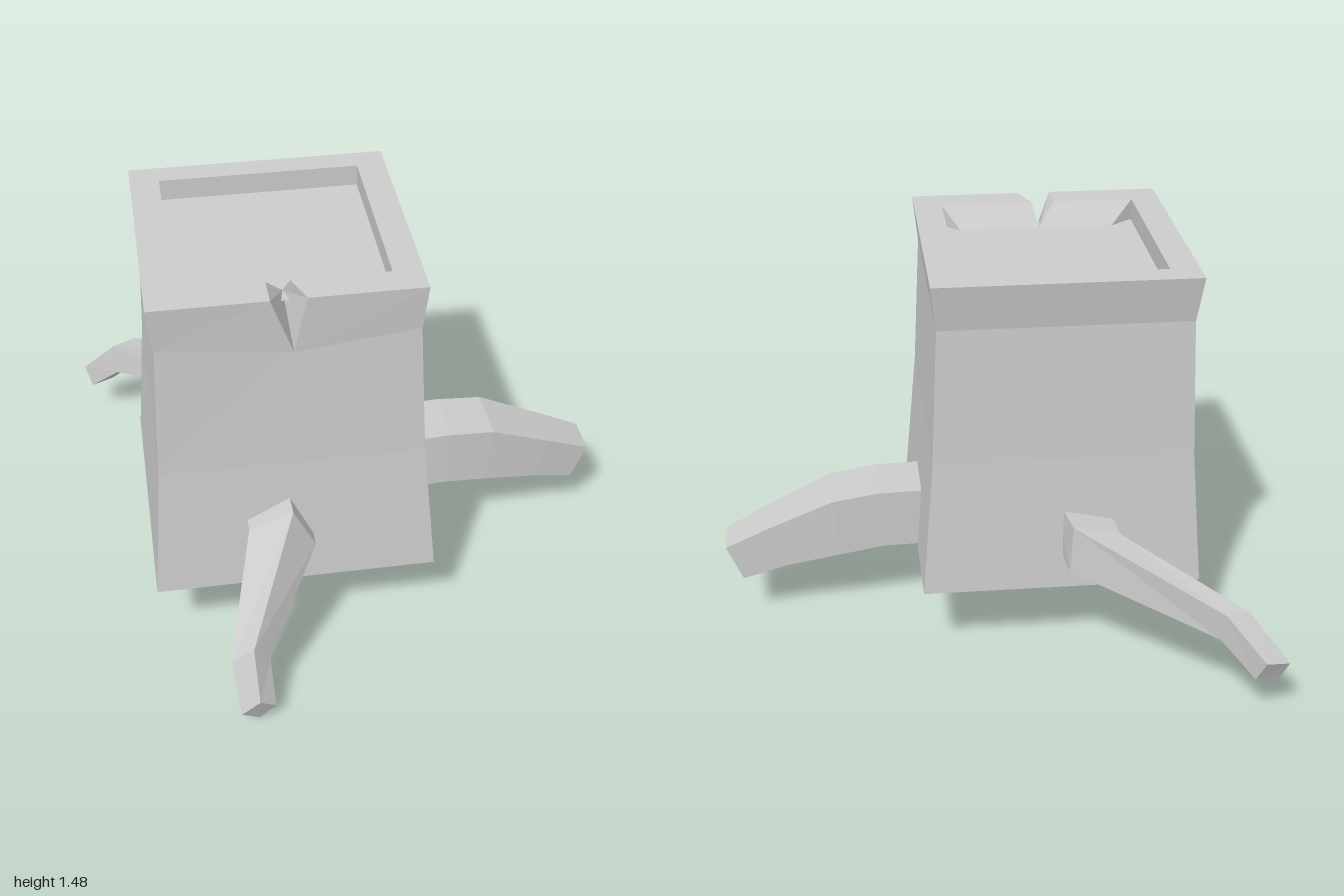
import * as THREE from 'three';

const material = new THREE.MeshStandardMaterial({ color: 0xcccccc, flatShading: true });

// Mesh from flat polygons, each a counter-clockwise list of corners
function polygonMesh(name, polygons) {
  const positions = [];
  for (const p of polygons)
    for (let i = 1; i < p.length - 1; i++) positions.push(...p[0], ...p[i], ...p[i + 1]);
  const geometry = new THREE.BufferGeometry();
  geometry.setAttribute('position', new THREE.Float32BufferAttribute(positions, 3));
  geometry.computeVertexNormals();
  const mesh = new THREE.Mesh(geometry, material);
  mesh.name = name;
  return mesh;
}

// Side quads between two four-cornered rings, from the given side onward
function band(a, b, first = 0) {
  const quads = [];
  for (let i = first; i < 4; i++) {
    const j = (i + 1) % 4;
    quads.push([a[i], a[j], b[j], b[i]]);
  }
  return quads;
}

const square = (h, y, dz = 0) => [[-h, y, h + dz], [h, y, h + dz], [h, y, -h + dz], [-h, y, -h + dz]];

function createTrunk() {
  const base = square(0.512, 0.29);
  const middle = square(0.472, 0.8);
  const neck = square(0.452, 1.31);
  const top = square(0.472, 1.48, -0.008);
  const rim = square(0.366, 1.48, -0.018);
  const floor = square(0.366, 1.4, -0.018);

  // V-shaped notch in the front of the rim
  const apex = [0.015, 1.26, 0.452];
  const outL = [-0.063, 1.48, 0.464], outR = [0.063, 1.48, 0.464];
  const inL = [-0.063, 1.48, 0.348], inR = [0.02, 1.48, 0.348];
  const inApex = [0, 1.4, 0.283];
  // Foot of the sloping front wall of the hollow
  const footL = [-0.28, 1.4, 0.283], footR = [0.3, 1.4, 0.283];

  return polygonMesh('trunk', [
    [...base].reverse(),
    ...band(base, middle),
    ...band(middle, neck, 1),
    ...band(neck, top, 1),
    ...band(top, rim, 1),
    ...band(rim, floor, 1),
    floor,
    // front bark around the notch
    [apex, neck[0], middle[0], middle[1], neck[1]],
    [neck[0], apex, outL, top[0]],
    [apex, neck[1], top[1], outR],
    // front rim
    [top[0], outL, inL, rim[0]],
    [outR, top[1], rim[1], inR],
    // notch sides
    [outL, apex, inApex, inL],
    [outR, inR, inApex, apex],
    // sloping front wall of the hollow
    [rim[0], inL, inApex, footL],
    [inR, rim[1], footR, inApex],
    [rim[0], footL, floor[0]],
    [rim[1], floor[1], footR],
  ]);
}

// Root lofted through rings that run counter-clockwise seen from the tip
function createRoot(name, rings) {
  const polygons = [[...rings[0]].reverse(), rings[rings.length - 1]];
  for (let i = 0; i < rings.length - 1; i++) polygons.push(...band(rings[i], rings[i + 1]));
  return polygonMesh(name, polygons);
}

export function createModel() {
  const group = new THREE.Group();
  group.name = 'treeStump';

  const trunk = createTrunk();
  trunk.position.set(-0.27, 0, 0.042);
  trunk.rotation.y = -0.018;
  group.add(trunk);

  // Left root: top x, top y, bottom x, bottom y, back z, front z
  const leftSections = [
    [0.1, 0.525, 0.1, 0.295, -0.1, 0.135],
    [0.39, 0.525, 0.38, 0.295, -0.11, 0.125],
    [0.565, 0.505, 0.54, 0.275, -0.12, 0.11],
    [0.8, 0.405, 0.75, 0.235, -0.11, 0.08],
    [0.975, 0.325, 0.915, 0.185, -0.105, 0.05],
  ];
  group.add(createRoot('leftRoot', leftSections.map(([tx, ty, bx, by, zb, zf]) =>
    [[tx, ty, zb], [tx, ty, zf], [bx, by, zf], [bx, by, zb]])));

  // Front root: top, right, bottom and left corners of each diamond section
  group.add(createRoot('frontRoot', [
    [[-0.295, 0.65, 0.4], [-0.45, 0.57, 0.4], [-0.36, 0.4, 0.4], [-0.215, 0.485, 0.4]],
    [[-0.295, 0.65, 0.607], [-0.45, 0.57, 0.58], [-0.36, 0.4, 0.54], [-0.215, 0.485, 0.6]],
    [[-0.485, 0.3, 0.905], [-0.565, 0.235, 0.88], [-0.49, 0.17, 0.86], [-0.425, 0.215, 0.87]],
    [[-0.48, 0.13, 0.995], [-0.545, 0.06, 0.975], [-0.48, 0.003, 0.945], [-0.42, 0.07, 0.96]],
  ]));

  // Back root
  group.add(createRoot('backRoot', [
    [[-0.44, 0.56, -0.35], [-0.25, 0.6, -0.35], [-0.25, 0.42, -0.35], [-0.48, 0.39, -0.35]],
    [[-0.45, 0.55, -0.55], [-0.28, 0.59, -0.56], [-0.27, 0.41, -0.56], [-0.485, 0.38, -0.535]],
    [[-0.85, 0.4, -0.88], [-0.76, 0.41, -0.91], [-0.75, 0.3, -0.89], [-0.845, 0.28, -0.855]],
    [[-0.98, 0.24, -0.975], [-0.89, 0.26, -1.0], [-0.865, 0.175, -0.965], [-0.955, 0.16, -0.945]],
  ]));

  return group;
}
